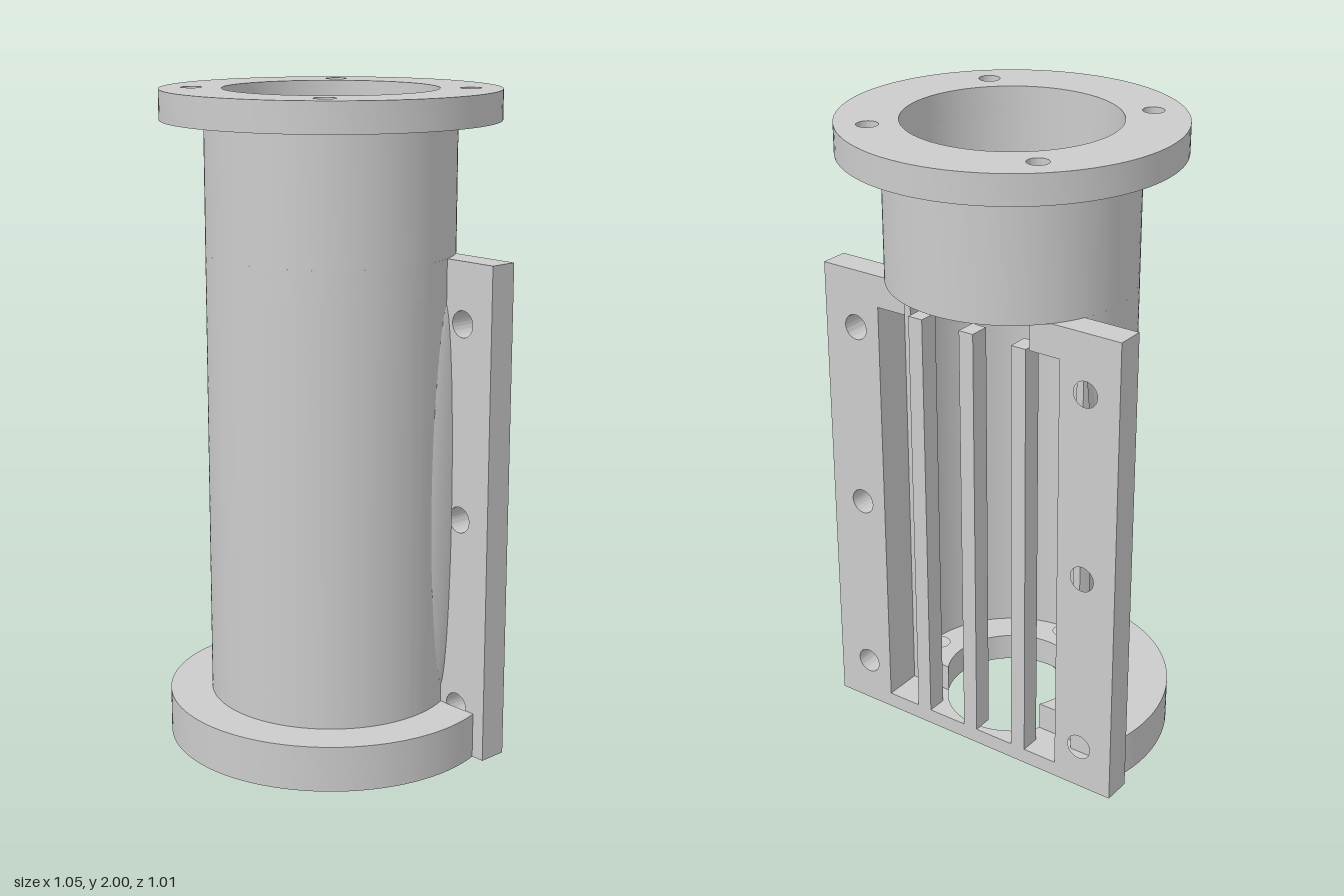
import * as THREE from 'three';
import { toCreasedNormals } from 'three/addons/utils/BufferGeometryUtils.js';

const FLANGE = 0.505, OUTER = 0.375, BORE = 0.32, THROAT = 0.21;
const PLATE_X = 0.527, FRONT = 0.14, BACK = 0.23; // plate half width, depths behind the axis
const SLOT_X = 0.325, SLOT_FRONT = 0.105, SLOT_Y0 = 0.05, SLOT_Y1 = 1.42;
const BASE_TOP = 0.14, PLATE_TOP = 1.52, TUBE_TOP = 1.91;

const material = new THREE.MeshStandardMaterial({ color: 0xcccccc });

function circle(x, y, r) {
  return new THREE.Path().absarc(x, y, r, 0, Math.PI * 2, true);
}

function disc(r, holes) {
  const s = new THREE.Shape();
  s.absarc(0, 0, r, 0, Math.PI * 2, false);
  s.holes.push(...holes);
  return s;
}

function extrude(shape, depth) {
  return new THREE.ExtrudeGeometry(shape, { depth, bevelEnabled: false, curveSegments: 48 });
}

// Plan outline (x, distance to the back) raised from y0 to y1
function layer(shape, y0, y1) {
  return extrude(shape, y1 - y0).rotateX(-Math.PI / 2).translate(0, y0, 0);
}

// Ring open at the back, with the slot's corners cut out of its ends
function openRing(ro, ri, notch) {
  const a = Math.asin(FRONT / ro), depth = notch ? SLOT_FRONT : FRONT, b = Math.asin(depth / ri);
  const s = new THREE.Shape();
  s.absarc(0, 0, ro, a, Math.PI - a, true);
  if (notch) s.lineTo(-SLOT_X, FRONT).lineTo(-SLOT_X, SLOT_FRONT);
  s.absarc(0, 0, ri, Math.PI - b, Math.PI * 2 + b, false);
  if (notch) s.lineTo(SLOT_X, SLOT_FRONT).lineTo(SLOT_X, FRONT);
  s.closePath();
  return s;
}

export function createModel() {
  const group = new THREE.Group();
  const add = (name, geometry) => {
    const mesh = new THREE.Mesh(toCreasedNormals(geometry, 0.5), material);
    mesh.name = name;
    group.add(mesh);
  };
  const baseHoles = () => [[-0.295, 0], [0.295, 0], [0, -0.295]].map(([x, y]) => circle(x, y, 0.032));

  // Base flange: lower slice joined to the foot of the plate, upper slice with the slot recess
  const a = Math.asin(FRONT / FLANGE);
  const foot = new THREE.Shape();
  foot.absarc(0, 0, FLANGE, a, Math.PI - a, true);
  foot.lineTo(-PLATE_X, FRONT).lineTo(-PLATE_X, BACK).lineTo(PLATE_X, BACK).lineTo(PLATE_X, FRONT);
  foot.closePath();
  foot.holes.push(circle(0, 0, THROAT), ...baseHoles());
  add('baseFoot', layer(foot, 0, SLOT_Y0));
  const baseRing = openRing(FLANGE, THROAT, true);
  baseRing.holes.push(...baseHoles());
  add('baseFlange', layer(baseRing, SLOT_Y0, BASE_TOP));

  // Tube: open at the back behind the window, closed above the plate
  add('lowerTube', layer(openRing(OUTER, BORE, true), BASE_TOP, SLOT_Y1));
  add('tubeCollar', layer(openRing(OUTER, BORE, false), SLOT_Y1, PLATE_TOP));
  add('upperTube', layer(disc(OUTER, [circle(0, 0, BORE)]), PLATE_TOP, TUBE_TOP));

  // Top flange with four bolt holes
  const bolts = [[1, 1], [1, -1], [-1, 1], [-1, -1]].map(([x, y]) => circle(x * 0.29, y * 0.29, 0.032));
  add('topFlange', layer(disc(FLANGE, [circle(0, 0, BORE), ...bolts]), TUBE_TOP, 2));

  for (const s of [1, -1]) {
    const side = s > 0 ? 'left' : 'right';

    // Mounting rail with three screw holes
    const rail = new THREE.Shape();
    rail.moveTo(s * SLOT_X, SLOT_Y0).lineTo(s * PLATE_X, SLOT_Y0);
    rail.lineTo(s * PLATE_X, SLOT_Y1).lineTo(s * SLOT_X, SLOT_Y1).closePath();
    for (const y of [0.145, 0.74, 1.335]) rail.holes.push(circle(s * 0.413, y, 0.04));
    add(side + 'Rail', extrude(rail, BACK - FRONT).translate(0, 0, -BACK));

    // Rail head, hollowed by the bore
    const angle = (d) => (s > 0 ? Math.asin(d / BORE) : Math.PI - Math.asin(d / BORE));
    const head = new THREE.Shape();
    head.moveTo(s * PLATE_X, FRONT).lineTo(s * PLATE_X, BACK);
    head.absarc(0, 0, BORE, angle(BACK), angle(FRONT), s > 0);
    head.closePath();
    add(side + 'RailHead', layer(head, SLOT_Y1, PLATE_TOP));

    // Shallow swelling where the tube meets the rail
    const swell = new THREE.SphereGeometry(1, 16, 32, s > 0 ? Math.PI / 2 : 0, Math.PI / 2);
    swell.scale(0.04, 0.6, 0.1).translate(s * 0.342, 0.79, -FRONT);
    add(side + 'Swelling', swell);
  }

  // Upright bars across the window
  for (const x of [-0.185, 0, 0.185]) {
    const bar = new THREE.BoxGeometry(0.05, SLOT_Y1 - SLOT_Y0, 0.065);
    add('windowBar', bar.translate(x, (SLOT_Y0 + SLOT_Y1) / 2, -0.1975));
  }
  return group;
}
